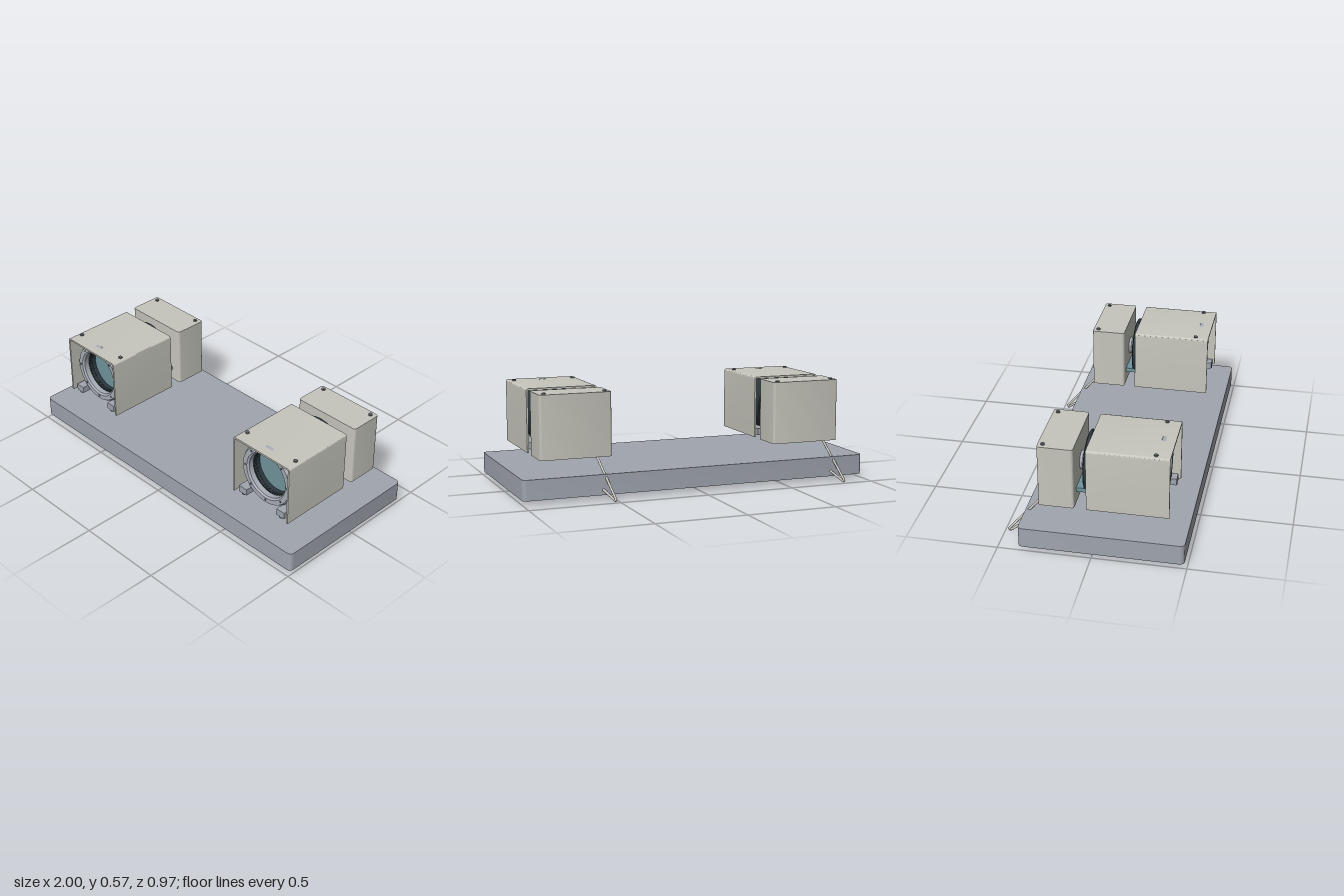
import * as THREE from 'three';
import { toCreasedNormals } from 'three/addons/utils/BufferGeometryUtils.js';

const mat = (name, color, side = THREE.FrontSide) => {
  const m = new THREE.MeshStandardMaterial({ color, side });
  m.name = name;
  return m;
};

// rectangle with rounded corners, centred on the origin
function roundedRect(w, d, r) {
  const s = new THREE.Shape();
  const x = w / 2 - r, y = d / 2 - r;
  s.absarc(x, y, r, 0, Math.PI / 2);
  s.absarc(-x, y, r, Math.PI / 2, Math.PI);
  s.absarc(-x, -y, r, Math.PI, Math.PI * 1.5);
  s.absarc(x, -y, r, Math.PI * 1.5, Math.PI * 2);
  s.closePath();
  return s;
}

// upright block with rounded vertical edges, standing on y = 0
function roundedBlock(w, h, d, r) {
  const g = new THREE.ExtrudeGeometry(roundedRect(w, d, r), { depth: h, bevelEnabled: false, curveSegments: 4 });
  g.rotateX(-Math.PI / 2);
  return toCreasedNormals(g, 0.6);
}

// body of revolution about z from [radius, z] pairs
function turned(points, segments = 48) {
  const g = new THREE.LatheGeometry(points.map(([r, z]) => new THREE.Vector2(r, z)), segments);
  g.rotateX(Math.PI / 2);
  return toCreasedNormals(g, 0.5);
}

export function createModel() {
  const slate = mat('slate grey', 0xa0a5af);
  const cream = mat('warm white', 0xc6c6bd);
  const dark = mat('dark housing', 0x2c373d);
  const teal = mat('teal glass', 0x70949d);
  const silver = mat('ring silver', 0xa8adb7);
  const screwGrey = mat('screw grey', 0x62686e);

  const model = new THREE.Group();
  const add = (parent, name, geometry, material, x = 0, y = 0, z = 0) => {
    const m = new THREE.Mesh(geometry, material);
    m.name = name;
    m.position.set(x, y, z);
    parent.add(m);
    return m;
  };
  const box = (w, h, d) => new THREE.BoxGeometry(w, h, d);

  // base slab
  add(model, 'base', roundedBlock(2, 0.112, 0.875, 0.025), slate, 0, 0.025, 0.0475);

  function buildUnit(name, cx) {
    const unit = new THREE.Group();
    unit.name = name;
    unit.position.x = cx;
    model.add(unit);
    const cy = 0.393;

    // folded sheet hood, open at the front, back and bottom
    const W = 0.2, T = 0.01, r = 0.012, y0 = 0.215, y1 = 0.567;
    const s = new THREE.Shape();
    s.moveTo(-W, y0);
    s.lineTo(-W + T, y0);
    s.lineTo(-W + T, y1 - T);
    s.lineTo(W - T, y1 - T);
    s.lineTo(W - T, y0);
    s.lineTo(W, y0);
    s.lineTo(W, y1 - r);
    s.absarc(W - r, y1 - r, r, 0, Math.PI / 2);
    s.absarc(-W + r, y1 - r, r, Math.PI / 2, Math.PI);
    s.closePath();
    const hood = new THREE.ExtrudeGeometry(s, { depth: 0.435, bevelEnabled: false, curveSegments: 4 });
    add(unit, 'hood', toCreasedNormals(hood, 0.6), cream, 0, 0, -0.049);

    // rear box
    add(unit, 'rearBox', roundedBlock(0.4, 0.35, 0.19, 0.013), cream, 0, 0.215, -0.209);

    // barrel with a stepped bore
    add(unit, 'barrel', turned([
      [0, -0.075], [0.158, -0.075], [0.165, -0.07], [0.165, -0.055], [0.16, -0.053], [0.16, -0.03],
      [0.165, -0.028], [0.165, 0.31], [0.138, 0.31], [0.138, 0.295], [0.134, 0.295],
      [0.134, 0.28], [0.131, 0.28], [0.131, 0.24], [0, 0.24],
    ]), dark, 0, cy, 0);

    // ribs around the rear rim and inside the bore
    for (let i = 0; i < 48; i++) {
      const a = (i / 48) * Math.PI * 2;
      const rim = add(unit, 'rimRib', box(0.006, 0.01, 0.018), dark,
        0.162 * Math.cos(a), cy + 0.162 * Math.sin(a), -0.042);
      rim.rotation.z = a;
      const bore = add(unit, 'boreRib', box(0.005, 0.008, 0.05), dark,
        0.134 * Math.cos(a), cy + 0.134 * Math.sin(a), 0.275);
      bore.rotation.z = a;
    }

    // glass and front ring
    add(unit, 'glass', new THREE.CircleGeometry(0.13, 48), teal, 0, cy, 0.256);
    add(unit, 'frontRing', turned([
      [0.13, 0.305], [0.168, 0.305], [0.176, 0.314], [0.176, 0.33], [0.167, 0.345],
      [0.14, 0.345], [0.13, 0.336], [0.13, 0.305],
    ]), silver, 0, cy, 0);
    const stud = new THREE.CylinderGeometry(0.006, 0.006, 0.008, 10).rotateX(Math.PI / 2);
    for (let i = 0; i < 8; i++) {
      const a = (i / 8) * Math.PI * 2;
      add(unit, 'ringScrew', stud, screwGrey, 0.152 * Math.cos(a), cy + 0.152 * Math.sin(a), 0.344);
    }

    // connecting plate, rear connector and its contact disc
    add(unit, 'linkPlate', box(0.27, 0.024, 0.1), teal, 0, 0.29, -0.085);
    add(unit, 'connector', turned([
      [0, -0.12], [0.05, -0.12], [0.05, -0.1], [0.045, -0.095], [0, -0.095],
    ], 32), silver, 0, cy, 0);
    add(unit, 'contactDisc', turned([
      [0, -0.09], [0.034, -0.09], [0.034, -0.084], [0, -0.084],
    ], 32), dark, 0, cy, 0);
    add(unit, 'contactPin', turned([[0.012, -0.1], [0.012, -0.07]], 16), silver, 0, cy, 0);

    // lower rails and screws
    const screw = new THREE.CylinderGeometry(0.011, 0.011, 0.008, 16);
    for (const side of [-1, 1]) {
      add(unit, 'rail', box(0.056, 0.038, 0.4), slate, side * 0.137, 0.24, 0.175);
      add(unit, 'railScrew', screw, screwGrey, side * 0.137, 0.217, 0.365);
      add(unit, 'hoodScrew', screw, screwGrey, side * 0.172, 0.57, 0.31);
      add(unit, 'rearScrew', screw, screwGrey, side * 0.168, 0.568, -0.276);
    }

    // cable dropping behind the slab and folding back to its rear face
    const v = (x, y, z) => new THREE.Vector3(x, y, z);
    const path = new THREE.CurvePath();
    path.add(new THREE.LineCurve3(v(-0.115, 0.225, -0.288), v(-0.157, 0.024, -0.473)));
    path.add(new THREE.QuadraticBezierCurve3(v(-0.157, 0.024, -0.473), v(-0.163, 0.002, -0.487), v(-0.155, 0.012, -0.465)));
    path.add(new THREE.LineCurve3(v(-0.155, 0.012, -0.465), v(-0.117, 0.058, -0.38)));
    add(unit, 'cable', new THREE.TubeGeometry(path, 64, 0.007, 8), cream);
  }

  buildUnit('rightUnit', -0.68);
  buildUnit('leftUnit', 0.68);
  return model;
}
